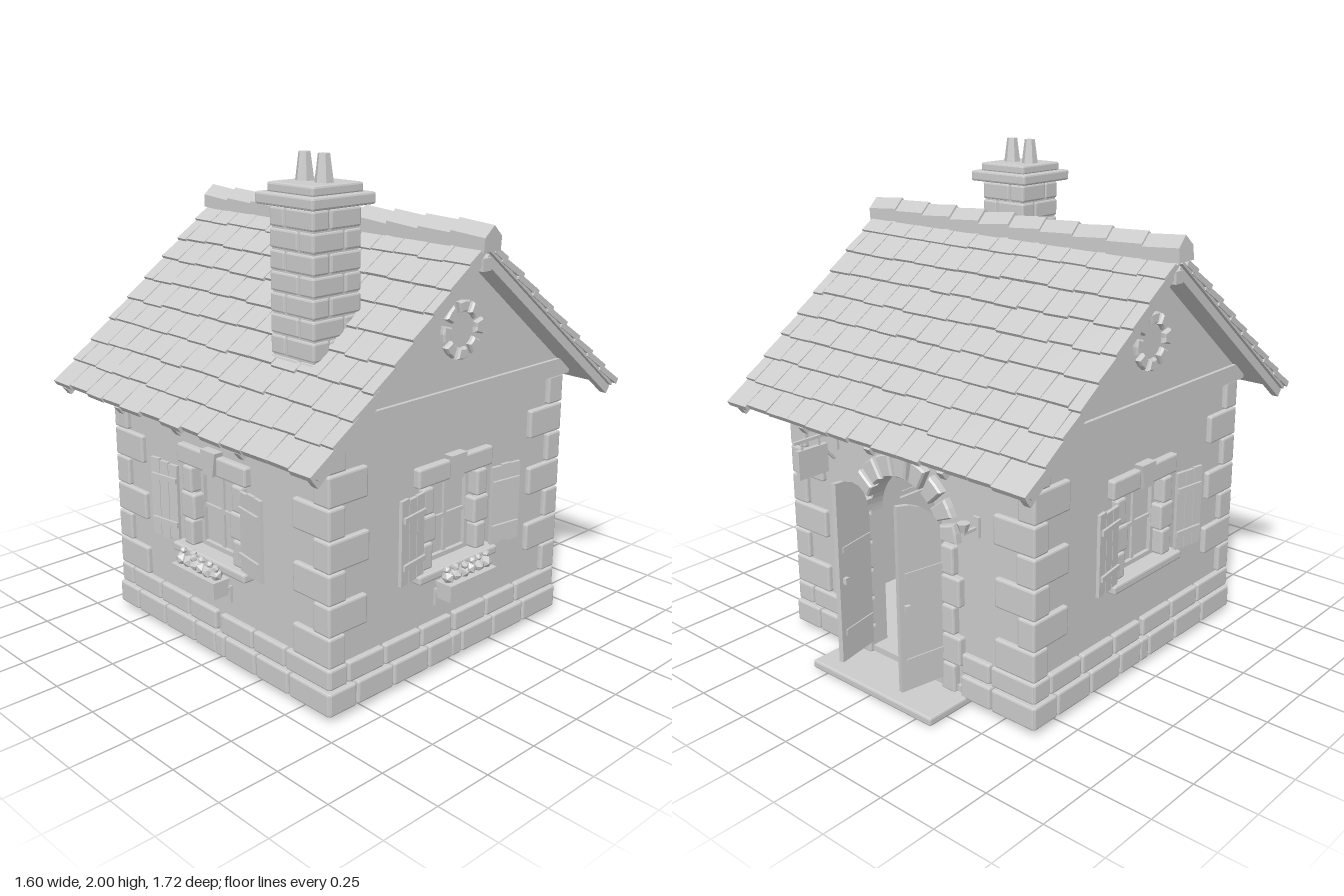
import * as THREE from 'three';
import { RoundedBoxGeometry } from 'three/addons/geometries/RoundedBoxGeometry.js';

const grey = new THREE.MeshStandardMaterial({ color: 0xcccccc });
grey.name = 'pale stone grey';

const Z0 = 0.016;      // centre of the house in z
const HALF = 0.635;    // half width of the walls
const PITCH = Math.atan(0.8);

let seed = 7;
const rnd = (a) => {   // seeded jitter in -a..a
  seed = (seed * 16807) % 2147483647;
  return (seed / 2147483647 * 2 - 1) * a;
};

function group(parent, name) {
  const g = new THREE.Group();
  g.name = name;
  parent.add(g);
  return g;
}
function add(parent, name, geo, x = 0, y = 0, z = 0) {
  const m = new THREE.Mesh(geo, grey);
  m.name = name;
  m.position.set(x, y, z);
  parent.add(m);
  return m;
}
function faceted(geo) {
  const g = geo.index ? geo.toNonIndexed() : geo;
  g.computeVertexNormals();
  return g;
}
// box given by its limits; bevel > 0 makes a chamfered stone
function block(parent, name, x0, x1, y0, y1, z0, z1, bevel = 0) {
  const w = x1 - x0, h = y1 - y0, d = z1 - z0;
  const geo = bevel ? faceted(new RoundedBoxGeometry(w, h, d, 1, bevel)) : new THREE.BoxGeometry(w, h, d);
  return add(parent, name, geo, (x0 + x1) / 2, (y0 + y1) / 2, (z0 + z1) / 2);
}
const stone = (p, n, ...b) => block(p, n, ...b, 0.008);
const poly = (pts) => new THREE.Shape(pts.map(([x, y]) => new THREE.Vector2(x, y)));
const extrude = (shape, depth) => new THREE.ExtrudeGeometry(shape, { depth, bevelEnabled: false, curveSegments: 12 });

// ring of wedge stones around a centre
function stoneRing(parent, name, cy, rIn, rOut, a0, a1, count, z0, z1) {
  const step = (a1 - a0) / count, gap = 0.012 / rOut;
  for (let i = 0; i < count; i++) {
    const a = a0 + i * step + gap, b = a0 + (i + 1) * step - gap, m = (a + b) / 2;
    const at = (r, t) => [Math.cos(t) * r, Math.sin(t) * r];
    const shape = poly([at(rIn, a), at(rOut, a), at(rOut, m), at(rOut, b), at(rIn, b), at(rIn, m)]);
    const geo = new THREE.ExtrudeGeometry(shape, {
      depth: z1 - z0 - 0.008, bevelSize: 0.006, bevelThickness: 0.008, bevelOffset: -0.006, bevelSegments: 1, curveSegments: 1,
    });
    add(parent, name, geo, 0, cy, z0);
  }
}

// wall slab with an opening, outer face at z = 0
function wall(parent, hole) {
  const s = poly([[-HALF, 0.03], [HALF, 0.03], [HALF, 1.12], [-HALF, 1.12]]);
  s.holes.push(hole);
  add(parent, 'wall', extrude(s, 0.06), 0, 0, -0.06);
}

// two courses of foundation stones
function baseCourses(parent, doorHalf) {
  [[0.025, 0.118, 0.665, 0.14, 0.03], [0.126, 0.207, 0.658, 0.09, 0.023]].forEach(([y0, y1, half, first, out]) => {
    let a = -half, w = first;
    while (a < half - 0.01) {
      let b = a + w + rnd(0.008);
      if (half - b < 0.08) b = half;
      const clear = b <= -doorHalf || a >= doorHalf;
      if (clear) stone(parent, 'foundationStone', a + 0.004, b - 0.004, y0, y1, -0.02, out);
      else {
        if (a < -doorHalf - 0.03) stone(parent, 'foundationStone', a + 0.004, -doorHalf, y0, y1, -0.02, out);
        if (b > doorHalf + 0.03) stone(parent, 'foundationStone', doorHalf, b - 0.004, y0, y1, -0.02, out);
      }
      a = b;
      w = 0.195;
    }
  });
}

function windowSet(parent, withFlowers) {
  const g = group(parent, 'window');
  block(g, 'glass', -0.13, 0.13, 0.44, 0.78, -0.045, -0.037);
  for (const s of [-1, 1]) {
    const side = (n, a, b, ...r) => stone(g, n, Math.min(s * a, s * b), Math.max(s * a, s * b), ...r);
    side('lintelStone', 0.035, 0.21, 0.782, 0.86, -0.03, 0.03);
    for (let i = 0; i < 3; i++) {
      const wide = i === 1;
      side('jambStone', wide ? 0.11 : 0.125, wide ? 0.197 : 0.182, 0.447 + i * 0.111, 0.553 + i * 0.111, -0.04, 0.028);
    }
    block(g, 'windowFrame', s * 0.12 - 0.012, s * 0.12 + 0.012, 0.445, 0.78, -0.05, -0.02);

    // open plank shutter, swung slightly off the wall
    const sh = group(g, 'shutter');
    sh.position.set(s * 0.195, 0, 0.03);
    sh.rotation.y = -s * 0.15;
    for (let i = 0; i < 3; i++) {
      const c = s * (0.026 + i * 0.049), top = 0.775 + rnd(0.008);
      block(sh, 'shutterPlank', c - 0.023, c + 0.023, 0.452 + rnd(0.006), top, 0, 0.014);
    }
    for (const y of [0.52, 0.705]) block(sh, 'shutterBatten', s * 0.07 - 0.068, s * 0.07 + 0.068, y - 0.011, y + 0.011, 0.012, 0.024);
  }
  block(g, 'windowFrame', -0.12, 0.12, 0.755, 0.78, -0.05, -0.02);
  block(g, 'windowFrame', -0.12, 0.12, 0.445, 0.465, -0.05, -0.02);
  block(g, 'mullion', -0.008, 0.008, 0.45, 0.775, -0.05, -0.027);
  block(g, 'mullion', -0.12, 0.12, 0.605, 0.621, -0.05, -0.027);
  add(g, 'keystone', extrude(poly([[-0.028, 0.78], [0.028, 0.78], [0.045, 0.877], [-0.045, 0.877]]), 0.07), 0, 0, -0.03);
  stone(g, 'sill', -0.225, 0.225, 0.41, 0.446, -0.05, 0.055);
  if (!withFlowers) return;
  const f = group(g, 'flowerBox');
  block(f, 'planter', -0.13, 0.13, 0.335, 0.397, 0.056, 0.126);
  block(f, 'planterRim', -0.134, 0.134, 0.39, 0.405, 0.052, 0.13);
  for (const x of [-0.08, 0.08]) {
    block(f, 'planterBracket', x - 0.006, x + 0.006, 0.27, 0.34, 0, 0.012);
    block(f, 'planterBracket', x - 0.006, x + 0.006, 0.325, 0.337, 0, 0.12);
  }
  for (let i = 0; i < 6; i++) {
    const x = -0.105 + i * 0.042;
    add(f, 'leaves', new THREE.IcosahedronGeometry(0.027, 0), x, 0.424, 0.091 + rnd(0.01)).rotation.y = i;
    add(f, 'flower', new THREE.IcosahedronGeometry(0.016, 0), x + rnd(0.01), 0.453, 0.09 + rnd(0.015)).rotation.y = i * 2;
  }
}

function gable(parent) {
  const g = group(parent, 'gable');
  add(g, 'gableWall', extrude(poly([[-0.66, 1.07], [0.66, 1.07], [0.66, 1.09], [0, 1.63], [-0.66, 1.09]]), 0.07), 0, 0, -0.045);
  add(g, 'gableBeam', extrude(poly([[-0.665, 1.07], [0.665, 1.07], [0.665, 1.085], [0.6, 1.14], [-0.6, 1.14], [-0.665, 1.085]]), 0.05), 0, 0, -0.01);
  stoneRing(g, 'roundWindowStone', 1.355, 0.068, 0.112, Math.PI / 8, Math.PI * 2 + Math.PI / 8, 8, 0.015, 0.045);
}

function doorway(parent) {
  const g = group(parent, 'doorway');
  const spring = 0.64, r = 0.2;
  stoneRing(g, 'archStone', spring, r, 0.29, 0, Math.PI, 9, -0.05, 0.035);
  for (const s of [-1, 1]) {
    for (let i = 0; i < 5; i++) {
      const w = i % 2 ? 0.1 : 0.07, c = s * (r + w / 2);
      stone(g, 'doorJambStone', c - w / 2, c + w / 2, 0.03 + i * 0.122, 0.147 + i * 0.122, -0.05, 0.032);
    }
    // door leaf with a quarter-round top, standing open
    const leaf = group(g, 'doorLeaf');
    leaf.position.set(s * 0.205, 0, 0.018);
    leaf.rotation.y = s * 1.38;
    const pts = [[0, 0.08], [0.2, 0.08]];
    for (let i = 6; i >= 0; i--) {
      const t = i / 6 * Math.PI / 2;
      pts.push([0.2 - Math.cos(t) * 0.2, spring + Math.sin(t) * 0.19]);
    }
    const shape = poly(pts.map(([x, y]) => [-s * x, y]));
    add(leaf, 'doorPanel', extrude(shape, 0.02), 0, 0, -0.01);
    for (const y of [0.2, 0.55]) block(leaf, 'doorStrap', -s * 0.09 - 0.085, -s * 0.09 + 0.085, y - 0.012, y + 0.012, -0.015, 0.015);
    block(leaf, 'doorHandle', -s * 0.17 - 0.01, -s * 0.17 + 0.01, 0.41, 0.435, -0.025, 0.025);
  }
  stone(parent, 'doorStep', -0.33, 0.33, 0, 0.034, -0.02, 0.225);

  // hanging sign on a bracket
  const sign = group(parent, 'hangingSign');
  const sx = -0.39;
  block(sign, 'signArm', sx - 0.006, sx + 0.006, 0.929, 0.941, 0, 0.215);
  block(sign, 'signWallPlate', sx - 0.015, sx + 0.015, 0.86, 0.97, 0, 0.012);
  block(sign, 'signStrut', sx - 0.005, sx + 0.005, 0.85, 0.86, 0, 0.09).rotation.x = -0.8;
  for (const z of [0.09, 0.175]) block(sign, 'signHanger', sx - 0.004, sx + 0.004, 0.89, 0.93, z - 0.004, z + 0.004);
  block(sign, 'signBoard', sx - 0.01, sx + 0.01, 0.782, 0.9, 0.055, 0.2);

  // small wall lamp on the other side
  const lamp = group(parent, 'wallLamp');
  block(lamp, 'lampPlate', 0.355, 0.385, 0.7, 0.78, 0, 0.012);
  block(lamp, 'lampArm', 0.364, 0.376, 0.73, 0.742, 0, 0.08);
  add(lamp, 'lampCup', faceted(new THREE.CylinderGeometry(0.026, 0.014, 0.035, 6)), 0.37, 0.76, 0.075);
}

// one roof slope: +z runs down the slope, +y away from it
function roofSlope(parent, turn) {
  const side = group(parent, 'roofSide');
  side.position.y = 1.617;
  side.rotation.y = turn;
  const g = group(side, 'roofSlope');
  g.rotation.x = PITCH;
  block(g, 'roofDeck', -0.78, 0.78, 0.035, 0.047, -0.02, 1.02);
  for (const x of [-0.75, -0.37, 0, 0.37, 0.75]) block(g, 'rafter', x - 0.015, x + 0.015, 0, 0.036, 0, 1.032);
  for (let row = 0; row < 9; row++) {
    const low = 1.035 - row * 0.119, len = row === 8 ? 0.08 : 0.145;
    let x = -0.787, w = row % 2 ? 0.06 : 0.12;
    while (x < 0.78) {
      let e = x + w + rnd(0.012);
      if (0.787 - e < 0.04) e = 0.787;
      const t = block(g, 'roofTile', x + 0.002, e - 0.002, 0.047, 0.07, low - len, low + rnd(0.006));
      t.rotation.set(-0.1 + rnd(0.015), rnd(0.02), 0);
      x = e;
      w = 0.12;
    }
  }
}

function chimney(parent) {
  const g = group(parent, 'chimney');
  g.position.set(0.35, 0, 0.45 - Z0);
  block(g, 'chimneyCore', -0.108, 0.108, 1.15, 1.83, -0.108, 0.108);
  for (let i = 0; i < 9; i++) {
    const y = 1.745 - i * 0.0765, sx = i % 2 ? 0.035 : -0.035, h = 0.118;
    for (const [x0, x1] of [[-h, sx], [sx, h]])
      for (const [z0, z1] of [[-h, -sx], [-sx, h]])
        stone(g, 'chimneyBrick', x0 + 0.003, x1 - 0.003, y, y + 0.071, z0 + 0.003, z1 - 0.003);
  }
  stone(g, 'chimneyCap', -0.152, 0.152, 1.822, 1.866, -0.15, 0.15);
  stone(g, 'chimneyCapTop', -0.12, 0.12, 1.862, 1.9, -0.12, 0.12);
  for (const x of [-0.054, 0.046]) add(g, 'chimneyPot', faceted(new THREE.CylinderGeometry(0.022, 0.036, 0.104, 6)), x, 1.948, 0);
}

export function createModel() {
  const model = new THREE.Group();
  model.name = 'cottage';
  const house = group(model, 'house');
  house.position.z = Z0;
  block(house, 'floor', -0.65, 0.65, 0.022, 0.06, -0.65, 0.65);

  // four walls, each built facing +z and turned into place
  ['frontWall', 'leftWall', 'backWall', 'rightWall'].forEach((name, i) => {
    const g = group(house, name), a = i * Math.PI / 2;
    g.rotation.y = a;
    g.position.set(Math.sin(a) * HALF, 0, Math.cos(a) * HALF);
    const isBack = i === 2;
    if (isBack) {
      const hole = new THREE.Path();
      hole.moveTo(-0.2, 0.05).lineTo(0.2, 0.05).lineTo(0.2, 0.64);
      hole.absarc(0, 0.64, 0.2, 0, Math.PI, false);
      hole.lineTo(-0.2, 0.05);
      wall(g, hole);
      doorway(g);
    } else {
      wall(g, poly([[-0.13, 0.44], [0.13, 0.44], [0.13, 0.78], [-0.13, 0.78]]));
      windowSet(g, i < 2);
    }
    baseCourses(g, isBack ? 0.3 : 0);
    if (i % 2) gable(g);
  });

  // alternating corner stones
  for (const sx of [-1, 1]) for (const sz of [-1, 1]) for (let i = 0; i < 7; i++) {
    const w = (i % 2 ? 0.085 : 0.195) + rnd(0.006), d = (i % 2 ? 0.195 : 0.085) + rnd(0.006);
    const cx = sx * (0.656 - w / 2), cz = sz * (0.656 - d / 2), y = 0.212 + i * 0.1225;
    stone(house, 'cornerStone', cx - w / 2, cx + w / 2, y, y + 0.118, cz - d / 2, cz + d / 2);
  }

  // roof, ridge beam and ridge caps
  roofSlope(house, 0);
  roofSlope(house, Math.PI);
  block(house, 'ridgeBeam', -0.775, 0.775, 1.585, 1.632, -0.022, 0.022);
  const cap = extrude(poly([[-0.046, -0.045], [0.046, -0.045], [0.046, 0.008], [0, 0.05], [-0.046, 0.008]]), 0.162);
  cap.translate(0, 0, -0.081).rotateY(Math.PI / 2);
  for (let i = 0; i < 10; i++) add(house, 'ridgeTile', cap, -0.717 + i * 0.1594, 1.708, 0).rotation.z = -0.07 + rnd(0.03);
  chimney(house);
  return model;
}
